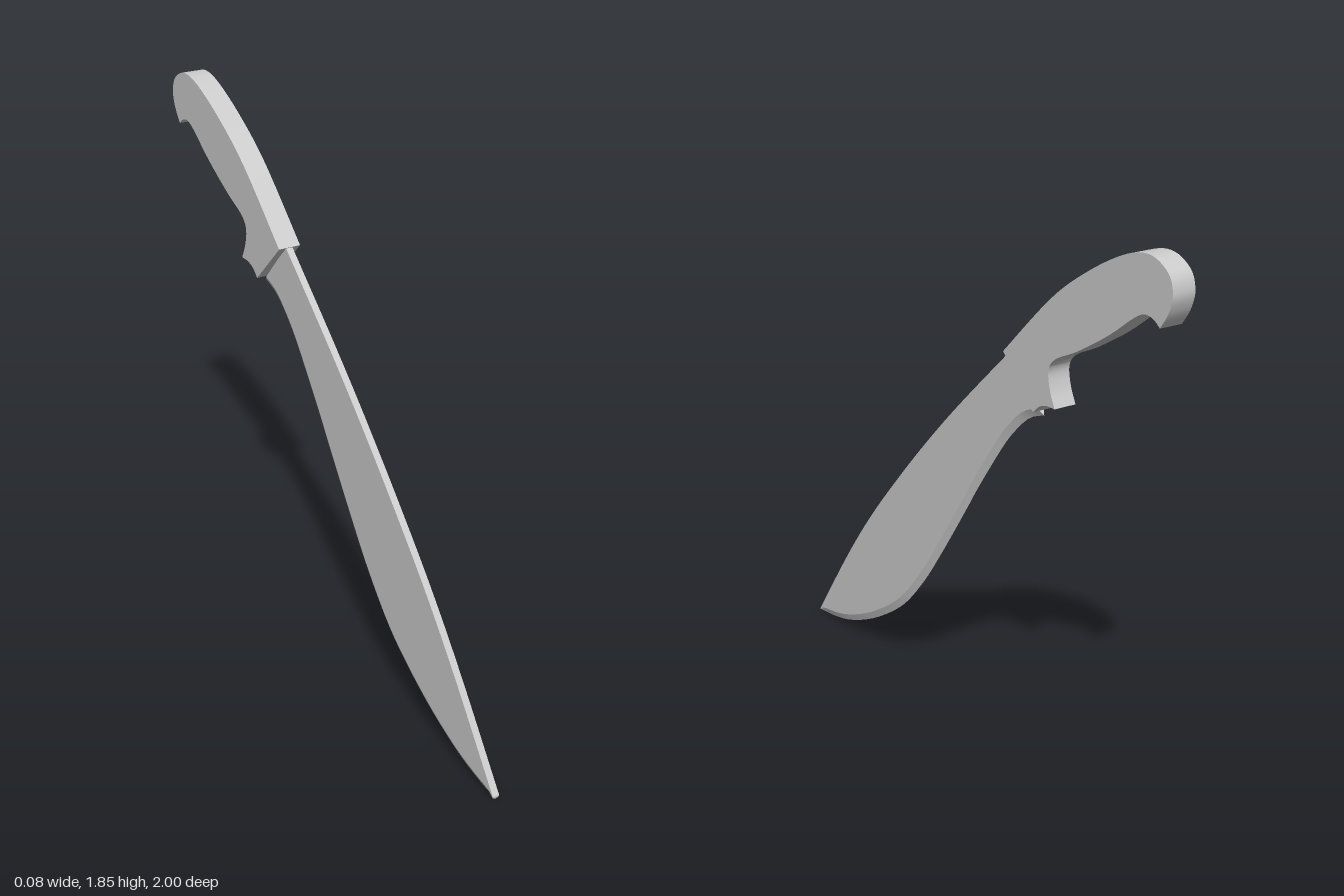
import * as THREE from 'three';
import { toCreasedNormals } from 'three/addons/utils/BufferGeometryUtils.js';

const material = new THREE.MeshStandardMaterial({ color: 0xcccccc });
const v2 = ([u, y]) => new THREE.Vector2(u, y);
const spline = (pts) => new THREE.SplineCurve(pts.map(v2));

// Profiles are drawn in the side plane as (u, y), where u = -z.
const spine = spline([[-1, 0.01], [-0.78, 0.32], [-0.6, 0.55], [-0.4, 0.775], [-0.195, 0.99], [0, 1.18], [0.255, 1.415]]);
const edge = spline([[-1, 0], [-0.92, 0.008], [-0.78, 0.045], [-0.6, 0.13], [-0.41, 0.26], [-0.265, 0.415],
  [-0.14, 0.585], [0, 0.79], [0.07, 0.895], [0.2, 1.075], [0.27, 1.155], [0.34, 1.215], [0.41, 1.243]]);

// Blade: flat sides that bevel to a sharp cutting edge, lofted from tip to hilt
function bladeGeometry(stations = 64, half = 0.012, bevelWidth = 0.026) {
  const positions = [], index = [], n = 5;
  for (let i = 0; i <= stations; i++) {
    const s = spine.getPointAt(i / stations);
    const e = edge.getPointAt(i / stations);
    const gap = s.distanceTo(e);
    const b = e.clone().lerp(s, Math.min(bevelWidth / gap, 0.6));
    for (const [x, p] of [[half, s], [half, b], [0, e], [-half, b], [-half, s]]) {
      positions.push(x, p.y, -p.x);
    }
  }
  for (let i = 0; i < stations; i++) {
    for (let j = 0; j < n; j++) {
      const a = i * n + j, b = i * n + (j + 1) % n;
      index.push(a, b, b + n, a, b + n, a + n);
    }
  }
  // end caps
  const last = stations * n;
  for (let j = 1; j < n - 1; j++) {
    index.push(0, j + 1, j, last, last + j, last + j + 1);
  }
  const g = new THREE.BufferGeometry();
  g.setAttribute('position', new THREE.Float32BufferAttribute(positions, 3));
  g.setIndex(index);
  return toCreasedNormals(g, 0.4);
}

// Handle: slab with a finger guard at the front and a hooked pommel
function handleGeometry(half = 0.04) {
  const runs = [
    [[0.405, 1.26], [0.435, 1.287], [0.47, 1.299], [0.51, 1.3]],
    [[0.51, 1.3], [0.485, 1.355], [0.477, 1.415], [0.51, 1.457], [0.607, 1.505], [0.74, 1.585],
      [0.85, 1.665], [0.895, 1.685], [0.93, 1.678], [0.955, 1.66]],
    [[0.955, 1.66], [0.987, 1.71], [1, 1.765], [0.976, 1.82], [0.9, 1.853], [0.795, 1.83],
      [0.635, 1.745], [0.475, 1.63], [0.25, 1.415]],
  ];
  const outline = runs.flatMap((run) => spline(run).getPoints((run.length - 1) * 6).slice(0, -1));
  outline.push(v2([0.25, 1.415]));
  const g = new THREE.ExtrudeGeometry(new THREE.Shape(outline), { depth: half * 2, bevelEnabled: false });
  g.translate(0, 0, -half);
  g.rotateY(Math.PI / 2);
  return toCreasedNormals(g, 0.6);
}

export function createModel() {
  const group = new THREE.Group();
  group.name = 'machete';
  for (const [name, geometry] of [['blade', bladeGeometry()], ['handle', handleGeometry()]]) {
    const mesh = new THREE.Mesh(geometry, material);
    mesh.name = name;
    group.add(mesh);
  }
  return group;
}
